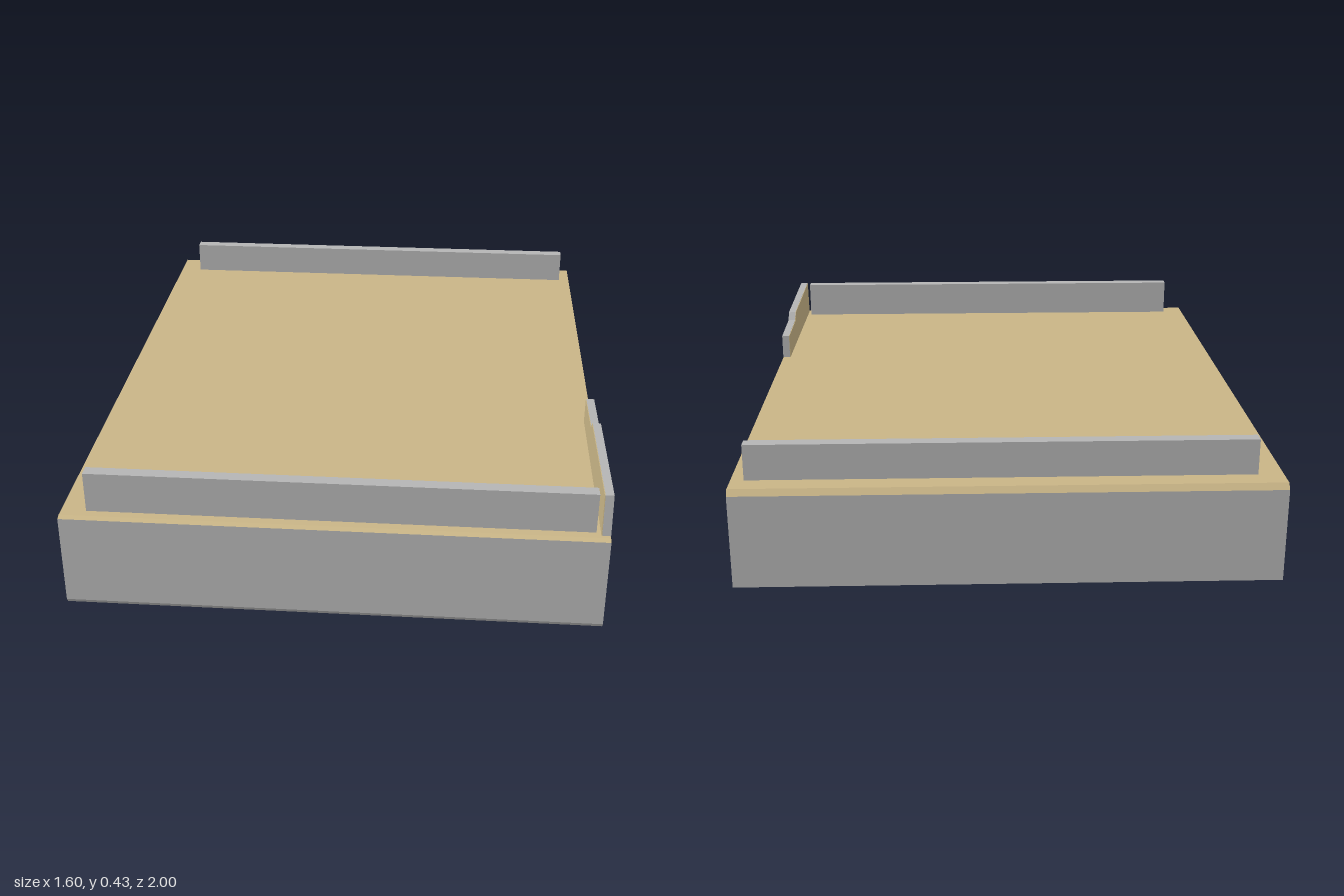
import * as THREE from 'three';

const material = (name, color) => {
  const m = new THREE.MeshStandardMaterial({ color });
  m.name = name;
  return m;
};

export function createModel() {
  const group = new THREE.Group();
  const grey = material('concreteGrey', 0xb4b4b4);
  const sand = material('sandRoof', 0xc8b486);

  // Extrudes a [z, y] side profile from x0 to x1
  function addProfile(name, points, x0, x1, mat) {
    const shape = new THREE.Shape(points.map(([z, y]) => new THREE.Vector2(-z, y)));
    const geo = new THREE.ExtrudeGeometry(shape, { depth: x1 - x0, bevelEnabled: false });
    geo.rotateY(Math.PI / 2).translate(x0, 0, 0);
    const mesh = new THREE.Mesh(geo, mat);
    mesh.name = name;
    group.add(mesh);
  }

  function addRail(name, z) {
    const mesh = new THREE.Mesh(new THREE.BoxGeometry(1.485, 0.15, 0.038), grey);
    mesh.position.set(0.0175, 0.355, z);
    mesh.name = name;
    group.add(mesh);
  }

  // Main block, slightly rising towards the back
  addProfile('body', [
    [1, 0.015], [0.99, 0], [-0.98, 0.012], [-1, 0.02], [-1, 0.305], [0.996, 0.298],
  ], -0.8, 0.799, grey);

  // Sloping roof surface with chamfered front and back, grey at its ends
  addProfile('roof', [
    [0.996, 0.298], [-1, 0.305], [-0.985, 0.322], [0.98, 0.303],
  ], -0.8, 0.799, [grey, sand]);

  // Stepped side wall
  const parapetTop = [[0.3, 0.392], [0.5, 0.397], [0.52, 0.423], [0.955, 0.43], [0.97, 0.3]];
  addProfile('sideWall', [[0.3, 0.008], ...parapetTop, [0.985, 0.28], [0.985, 0.004]], 0.775, 0.8, grey);
  addProfile('sideWallLining', [[0.302, 0.3], [0.302, 0.391], [0.501, 0.396], [0.521, 0.422], [0.954, 0.429], [0.968, 0.3]],
    0.773, 0.776, sand);

  // Low walls across the front and back
  addRail('frontParapet', 0.935);
  addRail('backParapet', -0.902);

  return group;
}
